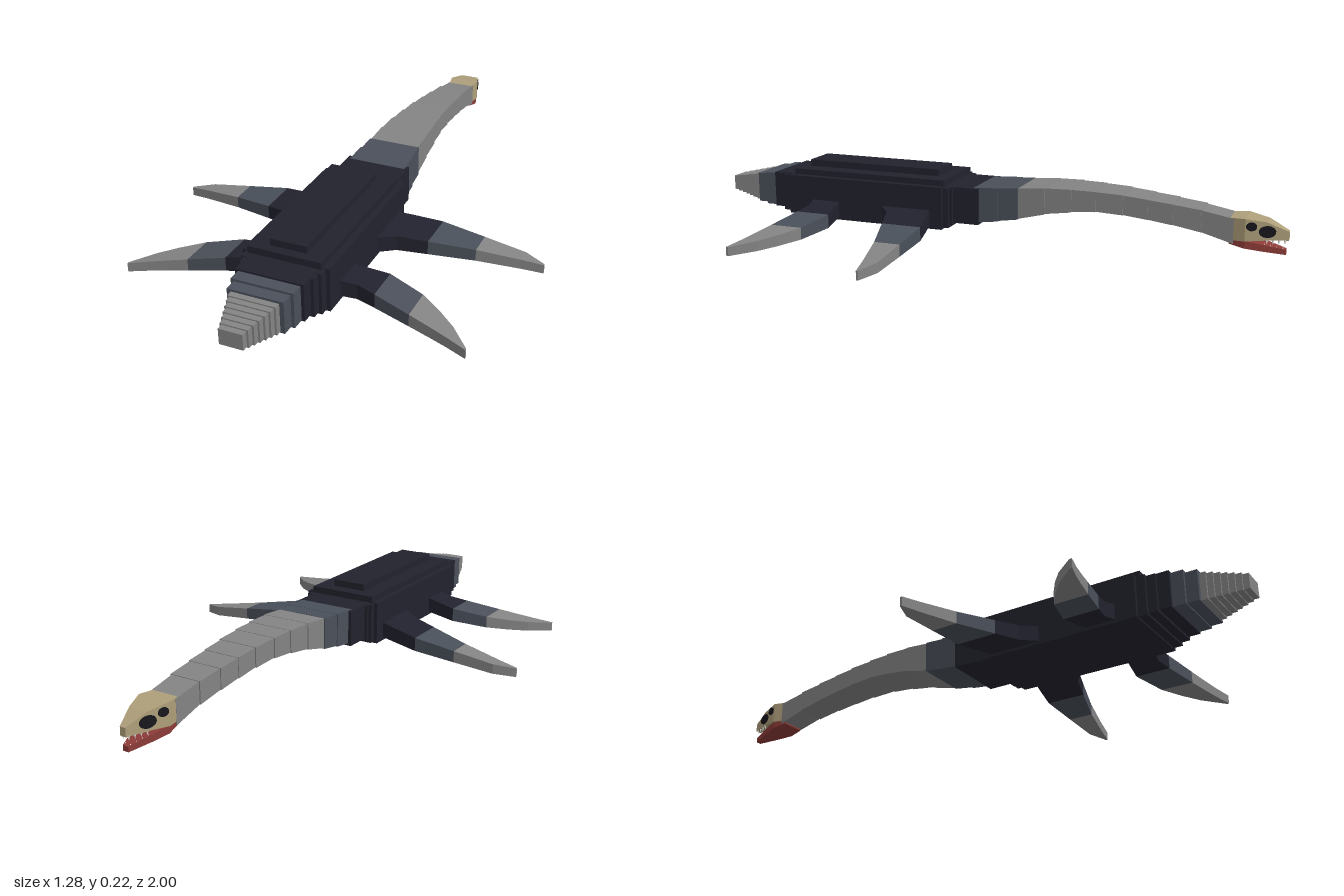
import * as THREE from 'three';

const mat = (name, color) => {
  const m = new THREE.MeshStandardMaterial({ color, flatShading: true });
  m.name = name;
  return m;
};

// Closed solid through a list of four-cornered rings.
function loft(rings) {
  const pos = [];
  const quad = (a, b, c, d) => pos.push(...a, ...b, ...c, ...a, ...c, ...d);
  for (let i = 0; i < rings.length - 1; i++) {
    const p = rings[i], q = rings[i + 1];
    for (let k = 0; k < 4; k++) {
      const n = (k + 1) % 4;
      quad(p[k], p[n], q[n], q[k]);
    }
  }
  const e = rings[rings.length - 1];
  quad(rings[0][3], rings[0][2], rings[0][1], rings[0][0]);
  quad(e[0], e[1], e[2], e[3]);
  const g = new THREE.BufferGeometry();
  g.setAttribute('position', new THREE.Float32BufferAttribute(pos, 3));
  g.computeVertexNormals();
  return g;
}

// Ring facing -z: half width, bottom and top at a given z.
const zRing = ([z, w, b, t]) => [[w, b, z], [-w, b, z], [-w, t, z], [w, t, z]];

export function createModel() {
  const model = new THREE.Group();
  model.name = 'marineReptile';
  const dark = mat('darkHide', 0x22222e);
  const slate = mat('slateHide', 0x4a505a);
  const gray = mat('grayHide', 0x848484);
  const bone = mat('boneSkull', 0xae9f7a);
  const red = mat('redJaw', 0x8c3c38);
  const black = mat('eyeBlack', 0x16161c);
  const white = mat('toothWhite', 0xeeeee6);

  const add = (name, geo, material, parent = model) => {
    const m = new THREE.Mesh(geo, material);
    m.name = name;
    parent.add(m);
    return m;
  };
  // Box from half width, y range and z range.
  const slab = (name, material, w, y0, y1, z0, z1) => {
    const m = add(name, new THREE.BoxGeometry(2 * w, y1 - y0, z1 - z0), material);
    m.position.set(0, (y0 + y1) / 2, (z0 + z1) / 2);
  };

  // Stepped trunk and back plates
  [
    [0.11, 0.06, 0.183, 0.0, 0.78],
    [0.12, 0.052, 0.18, 0.09, 0.74],
    [0.13, 0.045, 0.182, 0.1, 0.71],
    [0.142, 0.04, 0.185, 0.12, 0.68],
  ].forEach((s) => slab('trunk', dark, ...s));
  slab('backPlate', dark, 0.12, 0.18, 0.205, 0.12, 0.69);
  slab('backRidge', dark, 0.06, 0.2, 0.228, 0.165, 0.66);

  // Tail of shrinking blocks
  slab('tailBase', slate, 0.1, 0.062, 0.177, 0.77, 0.822);
  slab('tailBase', slate, 0.09, 0.066, 0.17, 0.81, 0.862);
  const tailSteps = 7;
  for (let i = 0; i < tailSteps; i++) {
    const t = i / (tailSteps - 1);
    slab('tailSegment', gray, 0.076 - 0.038 * t, 0.07 + 0.018 * t, 0.163 - 0.024 * t,
      0.855 + 0.02 * i, 0.882 + 0.0197 * i);
  }

  // Neck blocks tilted along an arching path: [z, half width, bottom, top]
  const neck = [
    [0.02, 0.1, 0.066, 0.184], [-0.06, 0.094, 0.076, 0.188], [-0.13, 0.088, 0.088, 0.192],
    [-0.22, 0.084, 0.112, 0.199], [-0.31, 0.078, 0.126, 0.2], [-0.39, 0.072, 0.133, 0.198],
    [-0.48, 0.066, 0.129, 0.193], [-0.56, 0.062, 0.12, 0.184], [-0.64, 0.057, 0.109, 0.175],
    [-0.73, 0.051, 0.093, 0.163], [-0.83, 0.045, 0.064, 0.143],
  ];
  for (let i = 0; i < neck.length - 1; i++) {
    const [z0, w0, b0, t0] = neck[i];
    const [z1, w1, b1, t1] = neck[i + 1];
    const front = zRing([z1 - 0.004, w1 + (w0 - w1) * 0.6, b1 - 0.001, t1 + 0.001]);
    add('neckSegment', loft([zRing([z0, w0, b0, t0]), front]), i < 2 ? slate : gray);
  }

  // Skull and open lower jaw
  const head = new THREE.Group();
  head.name = 'head';
  model.add(head);
  add('skull', loft([
    [-0.82, 0.045, 0.074, 0.146], [-0.87, 0.055, 0.076, 0.148],
    [-0.935, 0.033, 0.08, 0.138], [-1, 0.01, 0.08, 0.108],
  ].map(zRing)), bone, head);
  add('lowerJaw', loft([
    [-0.82, 0.044, 0.062, 0.075], [-0.87, 0.051, 0.052, 0.077],
    [-0.92, 0.036, 0.044, 0.066], [-0.993, 0.01, 0.033, 0.05],
  ].map(zRing)), red, head);

  // Eyes, nostril patches and teeth on both sides
  const slope = 0.34;
  for (const s of [1, -1]) {
    [[-0.936, 0.108, 0.027, 0.019], [-0.889, 0.124, 0.017, 0.014]].forEach(([z, y, rx, ry], i) => {
      const disc = new THREE.CylinderGeometry(1, 1, 0.006, 14);
      disc.rotateX(Math.PI / 2);
      disc.scale(rx, ry, 1);
      const m = add(i ? 'browSpot' : 'eye', disc, black, head);
      m.position.set(s * (0.055 + (z + 0.87) * slope + 0.001), y, z);
      m.rotation.y = s * (Math.PI / 2 + Math.atan(slope));
    });
    for (let i = 0; i < 4; i++) {
      const z = -0.935 - i * 0.018;
      const x = s * (0.051 + (z + 0.87) * slope);
      const upper = add('upperTooth', new THREE.ConeGeometry(0.005, 0.016, 4), white, head);
      upper.position.set(x, 0.074, z);
      upper.rotation.x = Math.PI;
      const lower = add('lowerTooth', new THREE.ConeGeometry(0.004, 0.012, 4), white, head);
      lower.position.set(x * 0.9, 0.063 + (z + 0.935) * 0.22, z + 0.006);
    }
  }

  // Flippers: stations are [x, leading z, trailing z], drooping outwards
  const flipper = (name, tipX, bands) => {
    const ring = ([x, z0, z1]) => {
      const t = (x - 0.12) / (tipX - 0.12);
      const y = 0.08 - 0.062 * t, h = 0.027 - 0.012 * t;
      return [[x, y - h, z0], [x, y + h, z0], [x, y + h, z1], [x, y - h, z1]];
    };
    for (const side of [1, -1]) {
      const g = new THREE.Group();
      g.name = (side > 0 ? 'left' : 'right') + name;
      g.scale.x = side;
      model.add(g);
      bands.forEach((b, i) => add(['flipperRoot', 'flipperMiddle', 'flipperTip'][i],
        loft(b.map(ring)), [dark, slate, gray][i], g));
    }
  };
  flipper('FrontFlipper', 0.64, [
    [[0.12, 0.168, 0.355], [0.14, 0.164, 0.344], [0.19, 0.152, 0.3], [0.285, 0.132, 0.27]],
    [[0.285, 0.132, 0.27], [0.43, 0.137, 0.225]],
    [[0.43, 0.137, 0.225], [0.57, 0.143, 0.193], [0.64, 0.173, 0.18]],
  ]);
  flipper('RearFlipper', 0.56, [
    [[0.12, 0.512, 0.615], [0.14, 0.508, 0.61], [0.19, 0.5, 0.598], [0.25, 0.49, 0.61]],
    [[0.25, 0.49, 0.61], [0.37, 0.526, 0.638]],
    [[0.37, 0.526, 0.638], [0.44, 0.57, 0.655], [0.497, 0.614, 0.67], [0.56, 0.682, 0.69]],
  ]);
  return model;
}
